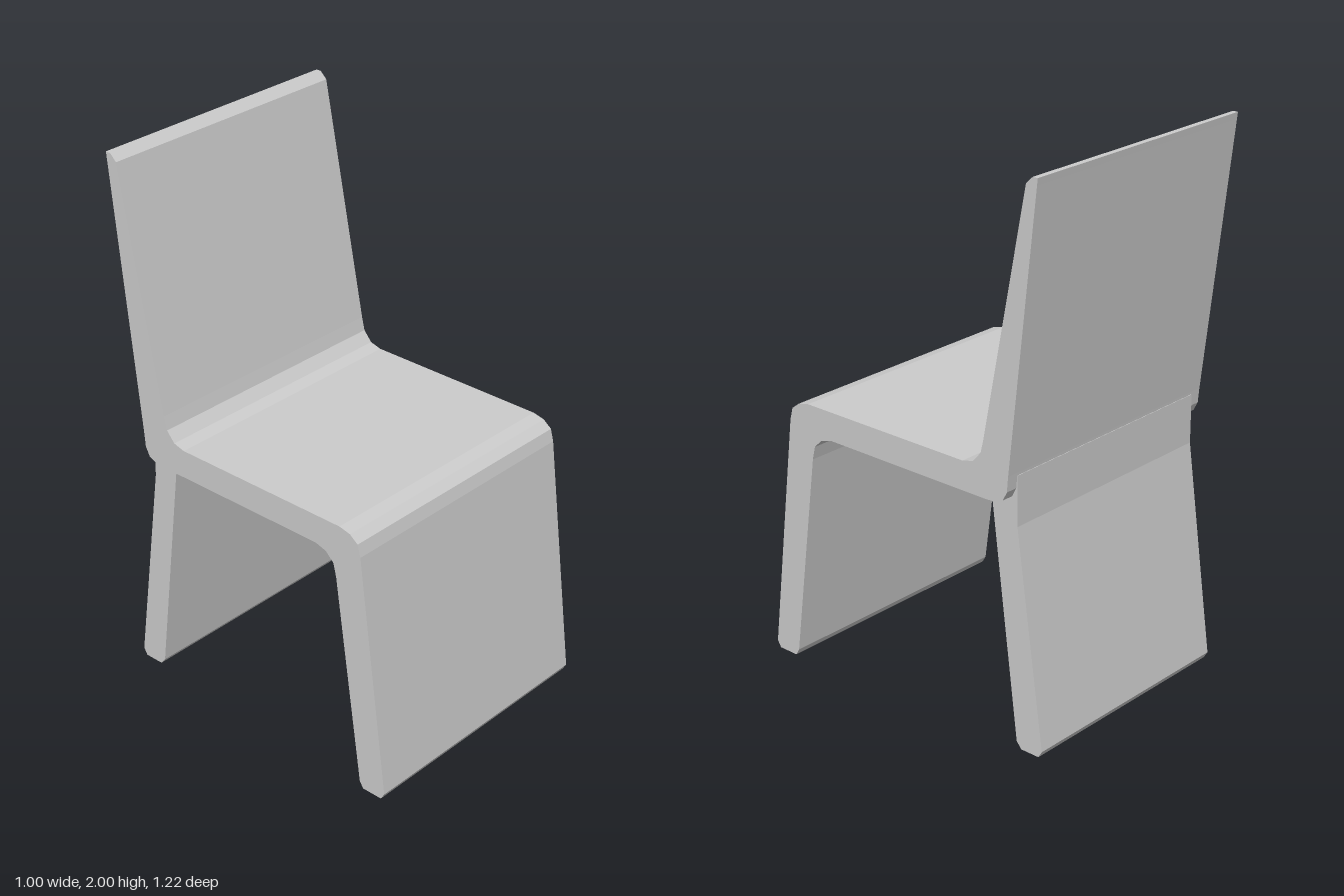
import * as THREE from 'three';

const material = new THREE.MeshStandardMaterial({ color: 0xcccccc, flatShading: true });

// Bent panel: a side profile of [z, y] points, extruded across the width
function panel(name, profile, width) {
  const shape = new THREE.Shape(profile.map(([z, y]) => new THREE.Vector2(z, y)));
  const geometry = new THREE.ExtrudeGeometry(shape, { depth: width, bevelEnabled: false });
  geometry.translate(0, 0, -width / 2);
  geometry.rotateY(-Math.PI / 2);
  const mesh = new THREE.Mesh(geometry, material);
  mesh.name = name;
  return mesh;
}

export function createModel() {
  const chair = new THREE.Group();
  chair.name = 'chair';

  // Front leg, seat and backrest bent from one continuous sheet
  chair.add(panel('seatShell', [
    // front leg foot and outer face
    [0.5, 0.025], [0.515, 0], [0.595, 0], [0.61, 0.025],
    // rounded front edge of the seat
    [0.5, 0.92], [0.488, 0.965], [0.455, 0.99], [0.41, 1],
    // bend from seat into backrest
    [-0.3, 1], [-0.345, 1.012], [-0.378, 1.05], [-0.39, 1.1],
    // top edge of the backrest
    [-0.562, 1.975], [-0.588, 2], [-0.608, 2], [-0.605, 1.975],
    // rounded lower back corner
    [-0.494, 1], [-0.489, 0.945], [-0.472, 0.912], [-0.44, 0.898], [-0.4, 0.895],
    // underside and inner front bend
    [0.305, 0.895], [0.35, 0.882], [0.383, 0.85], [0.395, 0.8],
  ], 1));

  // Slightly narrower rear leg, set into the lower back corner
  chair.add(panel('rearLeg', [
    [-0.385, 0.9], [-0.42, 0.94], [-0.49, 0.99], [-0.495, 0.99],
    [-0.495, 0.81], [-0.605, 0.025], [-0.59, 0], [-0.515, 0], [-0.495, 0.025],
  ], 0.91));

  return chair;
}
